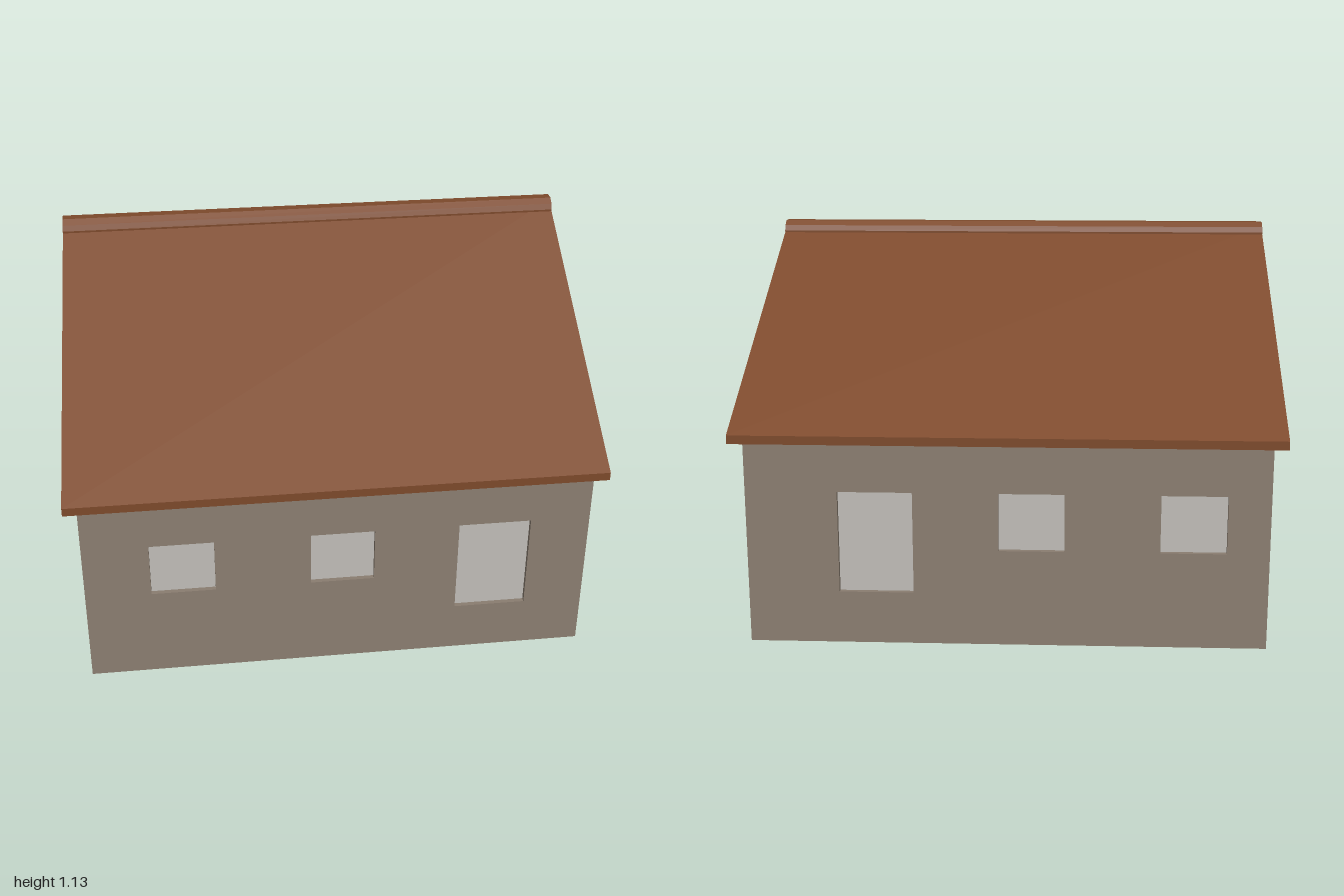
import * as THREE from 'three';

const L = 0.745, D = 0.834;          // half length and half depth of the walls
const T = 0.02;                      // wall thickness
const EAVE = 0.617, SLOPE = 0.575;   // wall height at the eaves, roof pitch

export function createModel() {
  const house = new THREE.Group();
  house.name = 'house';
  const wallMat = new THREE.MeshStandardMaterial({ color: 0x8a7d70 });
  const roofMat = new THREE.MeshStandardMaterial({ color: 0x7c492b });
  const glassMat = new THREE.MeshStandardMaterial({ color: 0xbfbcb7 });
  wallMat.name = 'wall plaster';
  roofMat.name = 'roof tile';
  glassMat.name = 'window glass';

  // The plot is turned and very slightly out of square
  const a = THREE.MathUtils.degToRad(11.3), b = THREE.MathUtils.degToRad(10.55);
  const plot = new THREE.Matrix4().makeBasis(
    new THREE.Vector3(Math.cos(a), 0, -Math.sin(a)),
    new THREE.Vector3(0, 1, 0),
    new THREE.Vector3(Math.sin(b), 0, Math.cos(b)));

  const add = (name, geo, mat, parent = house) => {
    geo.applyMatrix4(plot);
    const mesh = new THREE.Mesh(geo, mat);
    mesh.name = name;
    parent.add(mesh);
  };
  const toShape = pts => new THREE.Shape(pts.map(p => new THREE.Vector2(...p)));

  // One wall with recessed windows; openings are [centre, bottom, width, height]
  function wall(name, outline, openings, turn, offset) {
    const group = new THREE.Group();
    group.name = name;
    house.add(group);
    const place = geo => geo.translate(0, 0, offset).rotateY(turn);
    const shape = toShape(outline);
    for (const [c, y, w, h] of openings) {
      const l = c - w / 2, r = c + w / 2;
      shape.holes.push(new THREE.Path([[l, y], [l, y + h], [r, y + h], [r, y]]
        .map(p => new THREE.Vector2(...p))));
      const pane = new THREE.BoxGeometry(w, h, 0.005).translate(c, y + h / 2, -0.0165);
      add('pane', place(pane), glassMat, group);
      const back = new THREE.BoxGeometry(w + 0.02, h + 0.02, 0.006).translate(c, y + h / 2, -T - 0.003);
      add('windowBack', place(back), wallMat, group);
    }
    const geo = new THREE.ExtrudeGeometry(shape, { depth: T, bevelEnabled: false });
    add(name + 'Panel', place(geo.translate(0, 0, -T)), wallMat, group);
  }

  const low = [[-L, 0], [L, 0], [L, EAVE], [-L, EAVE]];
  const gable = [[-D, 0], [D, 0], [D, EAVE], [0.035, 1.078], [-0.035, 1.078], [-D, EAVE]];
  const wide = c => [c, 0.285, 0.188, 0.17];
  const narrow = c => [c, 0.285, 0.076, 0.17];
  const attic = c => [c, 0.675, 0.076, 0.09];
  const door = c => [c, 0.155, 0.214, 0.3];

  wall('frontWall', low, [wide(-0.459), wide(0.01), door(0.461)], 0, D);
  wall('backWall', low, [door(-0.375), wide(0.07), wide(0.53)], Math.PI, D);
  wall('leftGable', gable, [-0.555, -0.324, 0.317, 0.551].map(narrow), Math.PI / 2, L);
  wall('rightGable', gable,
    [...[-0.54, -0.19, 0.2, 0.535].map(narrow), ...[-0.19, 0.2].map(attic)], -Math.PI / 2, L);

  // Roof and ridge cap: profiles across the depth, run along the length
  const RL = 0.7825, RD = 0.862;
  const run = pts => new THREE.ExtrudeGeometry(toShape(pts), { depth: 2 * RL, bevelEnabled: false })
    .translate(0, 0, -RL).rotateY(Math.PI / 2);
  const under = 0.6, top = 0.625;
  add('roof', run([
    [-RD, under], [0, under + RD * SLOPE], [RD, under],
    [RD, top], [0, top + RD * SLOPE], [-RD, top]]), roofMat);
  add('ridgeCap', run([
    [-0.033, 1.078], [0.033, 1.078], [0.041, 1.09], [0.041, 1.103], [0.034, 1.12], [0.015, 1.134],
    [-0.015, 1.134], [-0.034, 1.12], [-0.041, 1.103], [-0.041, 1.09]]), roofMat);

  return house;
}
